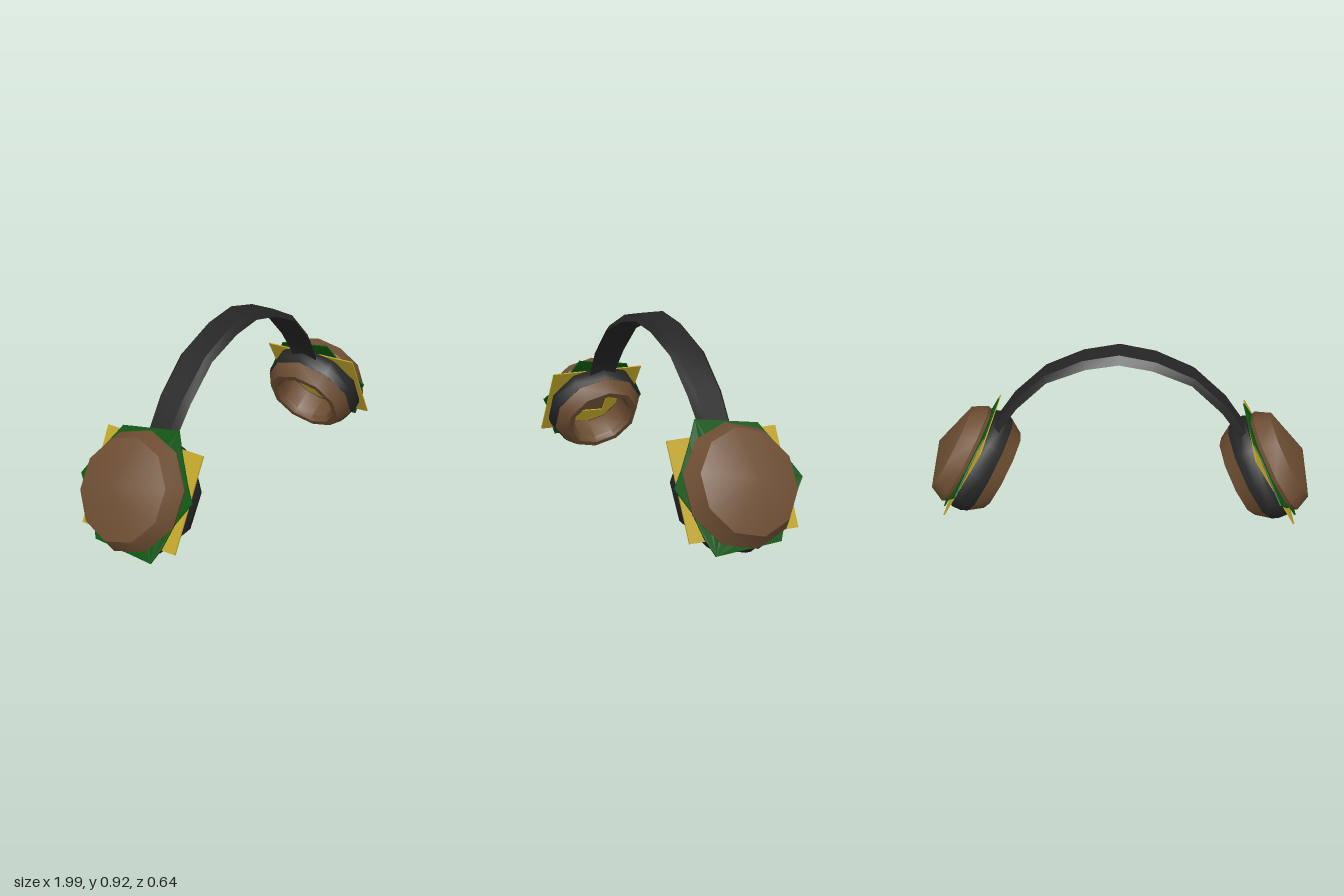
import * as THREE from 'three';
import { toCreasedNormals } from 'three/addons/utils/BufferGeometryUtils.js';

const mat = (name, color, side = THREE.FrontSide) => {
  const m = new THREE.MeshStandardMaterial({ color, side });
  m.name = name;
  return m;
};
const bunMat = mat('bun brown', 0x6e4e33);
const cheeseMat = mat('cheese yellow', 0xc0a428, THREE.DoubleSide);
const lettuceMat = mat('lettuce green', 0x0d5511, THREE.DoubleSide);
const darkMat = mat('charcoal', 0x252525);

function mesh(name, geometry, material) {
  const m = new THREE.Mesh(geometry, material);
  m.name = name;
  return m;
}

// Ten-sided turned layer; profile is [radius, distance along the cup axis]
function turned(profile) {
  const pts = profile.map(([r, y]) => new THREE.Vector2(r, y));
  return toCreasedNormals(new THREE.LatheGeometry(pts, 10, Math.PI / 2), 0.75);
}

// Thin slice with a central hole; outline points are [z, up] on the cup face
function slice(outline, hole, height, thickness, side) {
  const toVec = ([z, up]) => new THREE.Vector2(-up, -z * side);
  const shape = new THREE.Shape(outline.map(toVec));
  shape.holes.push(new THREE.Path(hole.map(toVec)));
  const g = new THREE.ExtrudeGeometry(shape, { depth: thickness, bevelEnabled: false });
  return g.rotateX(-Math.PI / 2).translate(0, height, 0);
}

const CHEESE = [[0.28, 0.244], [-0.275, 0.232], [-0.25, -0.23], [0.29, -0.19]];
const LETTUCE = [
  [0.13, 0.313], [-0.18, 0.255], [-0.21, 0.2], [-0.26, 0.12], [-0.34, -0.02],
  [-0.24, -0.13], [-0.19, -0.17], [-0.14, -0.27], [0.19, -0.265], [0.22, -0.19],
  [0.25, -0.07], [0.305, 0.04], [0.25, 0.11], [0.18, 0.22],
];

// One ear cup: a stack of layers along the tilted axis
function earCup(side) {
  const stack = new THREE.Group();
  stack.add(mesh('earCushionBun', turned([
    [0.17, 0.8], [0.17, 0.67], [0.19, 0.64], [0.22, 0.64], [0.267, 0.711],
  ]), bunMat));
  stack.add(mesh('pattyRing', turned([
    [0.18, 0.812], [0.18, 0.711], [0.268, 0.711], [0.281, 0.745],
    [0.281, 0.79], [0.272, 0.812], [0.18, 0.812],
  ]), darkMat));
  const cheeseHole = CHEESE.map(([z, up]) => [z * 0.36, up * 0.42]);
  stack.add(mesh('cheeseSlice', slice(CHEESE, cheeseHole, 0.814, 0.007, side), cheeseMat));

  // Lettuce leaf with a gently ruffled rim
  const lettuceHole = LETTUCE.map(([z, up]) => [z * 0.5, up * 0.5]);
  const leaf = slice(LETTUCE, lettuceHole, 0.825, 0.007, side);
  const p = leaf.attributes.position;
  for (let i = 0; i < p.count; i++) {
    const a = Math.atan2(p.getZ(i) * side, p.getX(i));
    p.setY(i, p.getY(i) + 0.004 * Math.sin(a * 5));
  }
  leaf.computeVertexNormals();
  stack.add(mesh('lettuceLeaf', leaf, lettuceMat));

  stack.add(mesh('outerBun', turned([
    [0, 0.836], [0.268, 0.836], [0.276, 0.855], [0.234, 0.932], [0, 1.004],
  ]), bunMat));

  stack.rotation.z = -Math.PI / 3;
  stack.position.set(0.07, -0.121, 0.02 * side);
  const cup = new THREE.Group();
  cup.name = side > 0 ? 'leftEarCup' : 'rightEarCup';
  cup.rotation.y = side > 0 ? 0 : Math.PI;
  cup.add(stack);
  return cup;
}

// Headband: trapezoid section swept along the arch, [outer x, y, inner x, y, half width]
function headbandGeometry() {
  const half = [
    [0, 0.927, 0, 0.888, 0.09], [0.176, 0.893, 0.16, 0.86, 0.09],
    [0.364, 0.807, 0.35, 0.783, 0.09], [0.53, 0.652, 0.505, 0.633, 0.088],
    [0.635, 0.505, 0.595, 0.505, 0.08], [0.67, 0.44, 0.63, 0.42, 0.078],
  ];
  const mirrored = half.slice(1).reverse().map(([a, b, c, d, w]) => [-a, b, -c, d, w]);
  const rings = [...mirrored, ...half].map(([ox, oy, ix, iy, w]) => [
    [ox, oy, 0.022 + w * 0.69], [ox, oy, 0.022 - w * 0.69],
    [ix, iy, 0.022 - w], [ix, iy, 0.022 + w],
  ]);
  const pos = [];
  const quad = (a, b, c, d) => pos.push(...a, ...b, ...c, ...a, ...c, ...d);
  for (let i = 0; i < rings.length - 1; i++) {
    for (let k = 0; k < 4; k++) {
      const n = (k + 1) % 4;
      quad(rings[i][k], rings[i + 1][k], rings[i + 1][n], rings[i][n]);
    }
  }
  quad(...rings[0]);
  quad(...rings[rings.length - 1].slice().reverse());
  const g = new THREE.BufferGeometry();
  g.setAttribute('position', new THREE.Float32BufferAttribute(pos, 3));
  return toCreasedNormals(g, 0.5);
}

export function createModel() {
  const model = new THREE.Group();
  model.name = 'burgerHeadphones';
  model.add(mesh('headband', headbandGeometry(), darkMat));
  for (const side of [1, -1]) model.add(earCup(side));
  return model;
}
